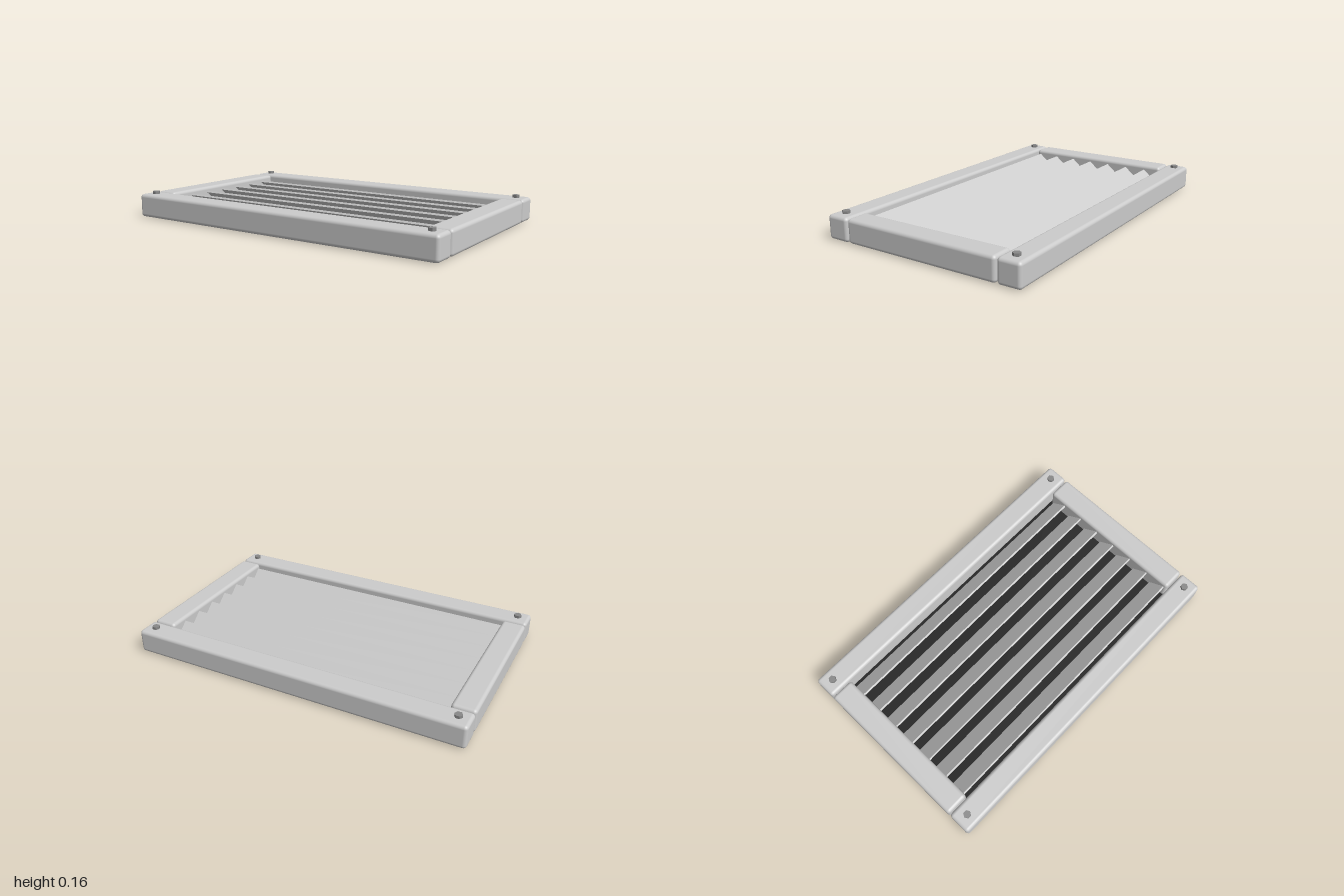
import * as THREE from 'three';
import { RoundedBoxGeometry } from 'three/addons/geometries/RoundedBoxGeometry.js';

const grey = new THREE.MeshStandardMaterial({ color: 0xcccccc });
const dark = new THREE.MeshStandardMaterial({ color: 0x1c1c1c });
const steel = new THREE.MeshStandardMaterial({ color: 0x888888, flatShading: true });

export function createModel() {
  const model = new THREE.Group();
  model.name = 'louvreVent';

  const add = (name, geometry, material, x, y, z) => {
    const mesh = new THREE.Mesh(geometry, material);
    mesh.name = name;
    mesh.position.set(x, y, z);
    model.add(mesh);
    return mesh;
  };

  // Frame: two long rails, with two shorter side rails between them
  const longRail = new RoundedBoxGeometry(2, 0.138, 0.136, 3, 0.02);
  const sideRail = new RoundedBoxGeometry(0.138, 0.138, 0.95, 3, 0.02);
  for (const s of [1, -1]) {
    add(s > 0 ? 'frontRail' : 'backRail', longRail, grey, 0, 0.073, s * 0.55);
    add(s > 0 ? 'leftRail' : 'rightRail', sideRail, grey, s * 0.931, 0.073, 0);
  }

  // Dark backing plate under the slats
  add('backPlate', new THREE.BoxGeometry(1.78, 0.02, 0.98), dark, 0, 0.01, 0);

  // Tilted slats, raised along their front edge
  const slat = new THREE.BoxGeometry(1.74, 0.012, 0.12);
  const count = 7;
  const pitch = 0.136;
  for (let i = 0; i < count; i++) {
    const z = (i - (count - 1) / 2) * pitch;
    const mesh = add('slat', slat, grey, 0, 0.073, z);
    mesh.rotation.x = -THREE.MathUtils.degToRad(40);
  }

  // Hexagonal bolt heads on the four corners
  const bolt = new THREE.CylinderGeometry(0.022, 0.022, 0.03, 6);
  bolt.rotateY(Math.PI / 6);
  for (const x of [0.93, -0.93]) {
    for (const z of [0.55, -0.55]) add('bolt', bolt, steel, x, 0.143, z);
  }

  return model;
}
